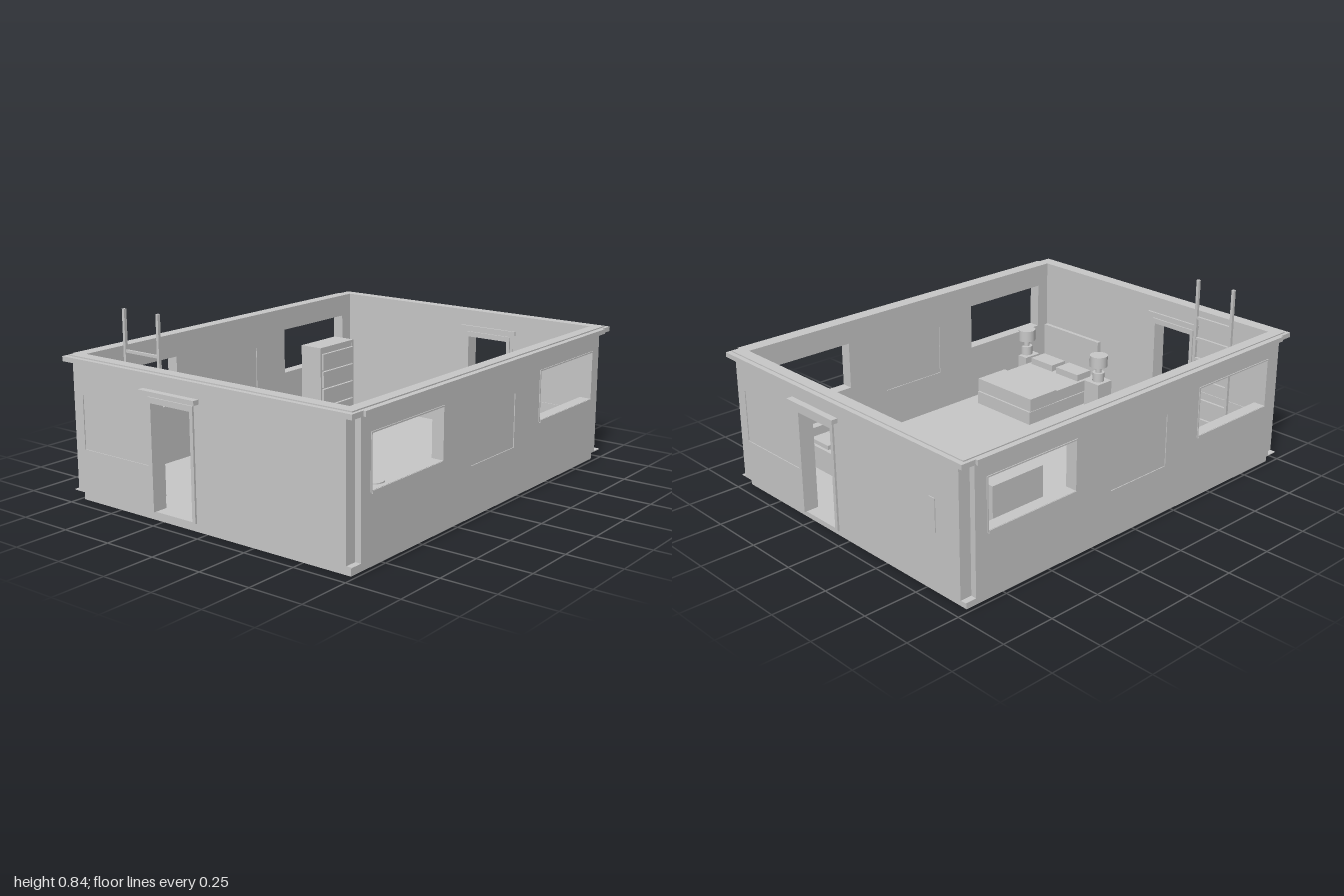
import * as THREE from 'three';

const plaster = new THREE.MeshStandardMaterial({ color: 0xc9c9c9 });
plaster.name = 'plainGrey';

function add(parent, name, geometry) {
  const mesh = new THREE.Mesh(geometry, plaster);
  mesh.name = name;
  parent.add(mesh);
  return mesh;
}

// box given by its lower and upper limits on each axis
function box(parent, name, x0, x1, y0, y1, z0, z1) {
  const g = new THREE.BoxGeometry(x1 - x0, y1 - y0, z1 - z0);
  g.translate((x0 + x1) / 2, (y0 + y1) / 2, (z0 + z1) / 2);
  return add(parent, name, g);
}

function cylinder(parent, name, x, z, y0, y1, r) {
  const g = new THREE.CylinderGeometry(r, r, y1 - y0, 20);
  g.translate(x, (y0 + y1) / 2, z);
  return add(parent, name, g);
}

function group(parent, name) {
  const g = new THREE.Group();
  g.name = name;
  parent.add(g);
  return g;
}

const polygon = (pts) => pts.map(([x, y]) => new THREE.Vector2(x, y));
const rect = (x0, x1, y0, y1) => polygon([[x0, y0], [x1, y0], [x1, y1], [x0, y1]]);

function slab(outline, holes, depth) {
  const shape = new THREE.Shape(outline);
  holes.forEach((h) => shape.holes.push(new THREE.Path(h)));
  return new THREE.ExtrudeGeometry(shape, { depth, bevelEnabled: false });
}

const FLOOR = 0.05, WALL_TOP = 0.642, ROOF_TOP = 0.647;

// wall with doorway, door frame, canopy and a slightly sunk panel
function endWall(parent, name) {
  const g = group(parent, name);
  const outline = polygon([
    [-0.73, FLOOR], [-0.263, FLOOR], [-0.263, 0.515], [-0.045, 0.515],
    [-0.045, FLOOR], [0.73, FLOOR], [0.73, WALL_TOP], [-0.73, WALL_TOP]]);
  const panel = [-0.677, -0.293, 0.243, 0.483];
  add(g, 'wall', slab(outline, [rect(...panel)], 0.055).translate(0, 0, 0.915));
  box(g, 'wallPanel', ...panel, 0.919, 0.966);
  const frame = polygon([
    [-0.28, FLOOR], [-0.263, FLOOR], [-0.263, 0.515], [-0.045, 0.515],
    [-0.045, FLOOR], [-0.028, FLOOR], [-0.028, 0.54], [-0.28, 0.54]]);
  add(g, 'doorFrame', slab(frame, [], 0.071).translate(0, 0, 0.908));
  box(g, 'doorCanopy', -0.31, 0, 0.55, 0.57, 0.905, 1);
  box(g, 'roofBand', -0.772, 0.772, 0.62, WALL_TOP, 0.915, 0.99);
  box(g, 'roofCap', -0.757, 0.757, WALL_TOP, ROOF_TOP, 0.915, 0.968);
  return g;
}

// long wall with two window openings and a sunk panel between them
function sideWall(parent, name) {
  const g = group(parent, name);
  const windows = [[-0.85, -0.38], [0.38, 0.85]];
  const holes = windows.map(([a, b]) => rect(a, b, 0.32, 0.54));
  holes.push(rect(-0.17, 0.17, 0.243, 0.483));
  const wall = slab(rect(-0.915, 0.915, FLOOR, WALL_TOP), holes, 0.052);
  add(g, 'wall', wall.rotateY(Math.PI / 2).translate(0.705, 0, 0));
  box(g, 'wallPanel', 0.709, 0.753, 0.243, 0.483, -0.17, 0.17);
  for (const [a, b] of windows) {
    const frame = slab(rect(a - 0.006, b + 0.006, 0.312, 0.546), [rect(a, b, 0.32, 0.54)], 0.006);
    add(g, 'windowFrame', frame.rotateY(Math.PI / 2).translate(0.755, 0, 0));
    box(g, 'windowSill', 0.756, 0.764, 0.306, 0.319, a, b);
  }
  box(g, 'roofBand', 0.705, 0.783, 0.62, WALL_TOP, -0.922, 0.922);
  box(g, 'roofCap', 0.705, 0.757, WALL_TOP, ROOF_TOP, -0.915, 0.915);
  return g;
}

function nightstand(parent, x) {
  const g = group(parent, 'nightstand'), z = 0.755;
  box(g, 'cabinet', x - 0.047, x + 0.047, FLOOR, 0.19, z - 0.05, z + 0.047);
  cylinder(g, 'lampBase', x, z, 0.19, 0.235, 0.03);
  cylinder(g, 'lampNeck', x, z, 0.235, 0.27, 0.015);
  cylinder(g, 'lampShade', x, z, 0.268, 0.325, 0.045);
}

export function createModel() {
  const house = new THREE.Group();
  house.name = 'house';

  // thin floor, open beneath the chest, on a skirt that is hollow below
  const floor = slab(rect(-0.757, 0.757, -0.968, 0.968), [rect(-0.68, -0.575, 0.505, 0.755)], 0.004);
  add(house, 'floor', floor.rotateX(-Math.PI / 2).translate(0, FLOOR - 0.004, 0));
  const skirt = slab(rect(-0.73, 0.73, -0.94, 0.94), [rect(-0.727, 0.727, -0.937, 0.937)], FLOOR - 0.004);
  add(house, 'baseSkirt', skirt.rotateX(-Math.PI / 2));

  endWall(house, 'frontWall');
  const back = endWall(house, 'backWall');
  box(back, 'switchPanel', 0.56, 0.595, 0.29, 0.435, 0.96, 0.974);
  back.rotation.y = Math.PI;
  sideWall(house, 'leftWall');
  sideWall(house, 'rightWall').rotation.y = Math.PI;

  const furniture = group(house, 'furniture');
  furniture.position.set(0.004, 0, 0.004);

  // bed
  const bed = group(furniture, 'bed');
  box(bed, 'bedBase', 0.247, 0.62, FLOOR, 0.115, 0.343, 0.82);
  box(bed, 'mattress', 0.253, 0.617, 0.115, 0.172, 0.353, 0.82);
  box(bed, 'blanket', 0.247, 0.622, 0.117, 0.182, 0.35, 0.53);
  box(bed, 'headboard', 0.245, 0.623, FLOOR, 0.355, 0.818, 0.838);
  for (const x of [0.345, 0.525]) {
    box(bed, 'pillow', x - 0.075, x + 0.075, 0.172, 0.205, 0.7, 0.795);
  }
  nightstand(furniture, 0.178);
  nightstand(furniture, 0.692);

  // sofa facing the back wall
  const sofa = group(furniture, 'sofa');
  box(sofa, 'seat', 0.34, 0.63, FLOOR, 0.16, -0.69, -0.565);
  box(sofa, 'backrest', 0.295, 0.67, FLOOR, 0.29, -0.565, -0.515);
  for (const [x0, x1] of [[0.295, 0.34], [0.63, 0.67]]) {
    box(sofa, 'arm', x0, x1, FLOOR, 0.22, -0.69, -0.565);
  }
  for (const [x0, x1] of [[0.343, 0.47], [0.5, 0.627]]) {
    box(sofa, 'cushion', x0, x1, 0.16, 0.18, -0.675, -0.57);
  }

  // chest of drawers, a shell without a bottom
  const chest = group(furniture, 'chestOfDrawers');
  box(chest, 'backPanel', -0.69, -0.68, FLOOR, 0.435, -0.765, -0.495);
  box(chest, 'frontPanel', -0.582, -0.572, FLOOR, 0.435, -0.755, -0.505);
  box(chest, 'top', -0.69, -0.567, 0.43, 0.445, -0.765, -0.495);
  for (const z of [-0.765, -0.505]) {
    box(chest, 'sidePanel', -0.68, -0.567, FLOOR, 0.43, z, z + 0.01);
  }
  for (let i = 0; i < 4; i++) {
    const y = 0.055 + i * 0.091;
    box(chest, 'drawerFront', -0.572, -0.558, y, y + 0.083, -0.755, -0.508);
  }

  // ladder, with feet reaching back to the wall
  const ladder = group(furniture, 'ladder');
  for (const x of [-0.592, -0.392]) {
    box(ladder, 'rail', x, x + 0.013, FLOOR, 0.84, 0.793, 0.807);
    box(ladder, 'foot', x + 0.001, x + 0.012, FLOOR, 0.064, 0.806, 0.878);
  }
  for (let i = 0; i < 6; i++) {
    const y = 0.152 + i * 0.1;
    box(ladder, 'rung', -0.58, -0.391, y, y + 0.012, 0.794, 0.806);
  }
  return house;
}
